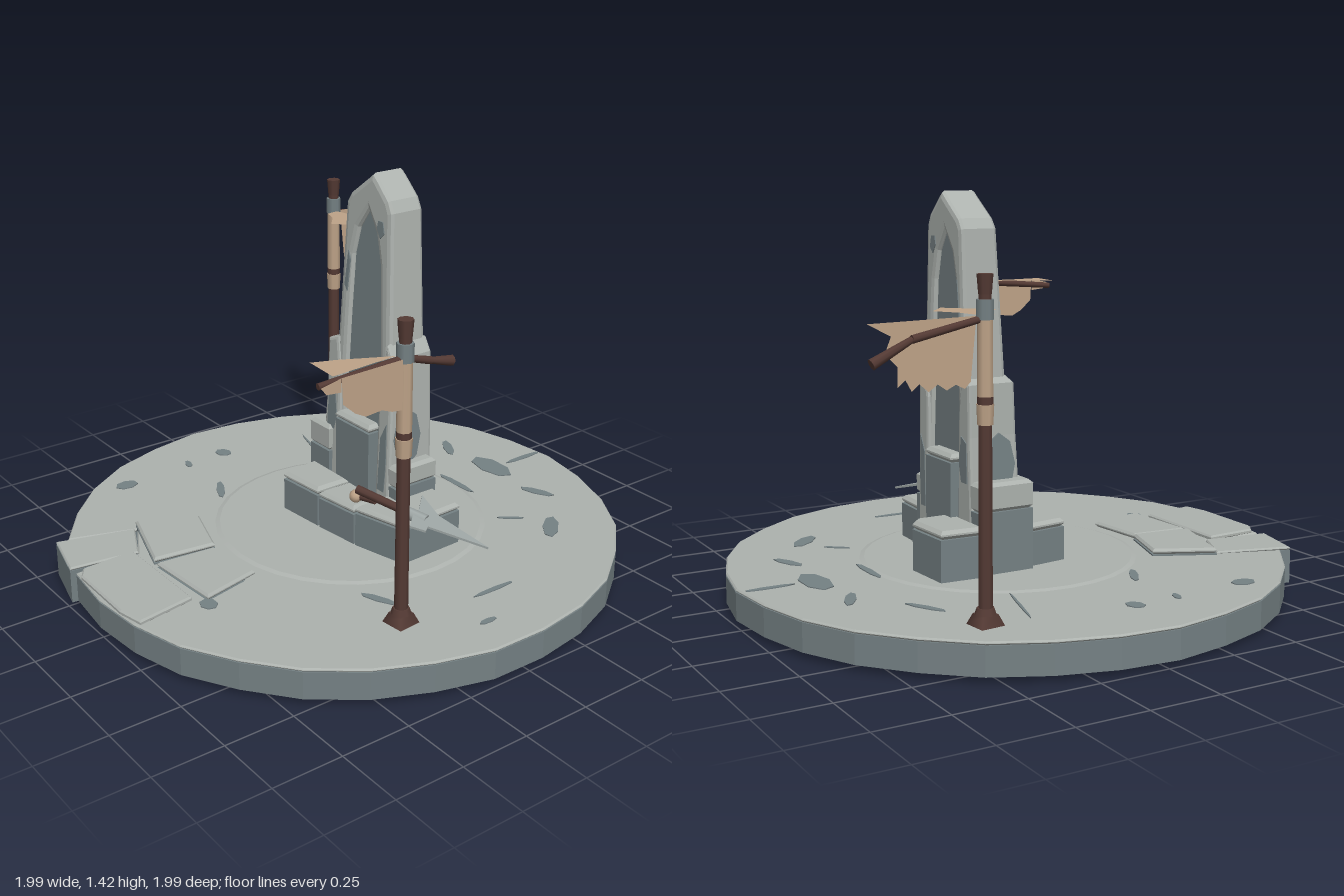
import * as THREE from 'three';

const mat = (name, color, side = THREE.FrontSide) => {
  const m = new THREE.MeshStandardMaterial({ color, side });
  m.name = name;
  return m;
};

export function createModel() {
  const root = new THREE.Group();
  root.name = 'ruinedMonument';
  const light = mat('lightStone', 0xadb2ae);
  const dark = mat('darkStone', 0x758184, THREE.DoubleSide);
  const wood = mat('darkWood', 0x543a34);
  const cloth = mat('tanCloth', 0xbea388, THREE.DoubleSide);
  const steel = mat('steel', 0x9ea6a5);

  const add = (name, geo, material, parent = root) => {
    const m = new THREE.Mesh(geo, material);
    m.name = name;
    parent.add(m);
    return m;
  };
  const shapeOf = (pts) => new THREE.Shape(pts.map(([x, y]) => new THREE.Vector2(x, y)));
  const footprint = (pts) => shapeOf(pts.map(([x, z]) => [x, -z]));

  // Horizontal slab from an [x, z] footprint, with chamfered edges
  const slab = (name, pts, y0, y1, material, bevel = 0) => {
    const g = new THREE.ExtrudeGeometry(footprint(pts), {
      depth: y1 - y0 - 2 * bevel, bevelEnabled: bevel > 0, bevelSegments: 1,
      bevelSize: bevel, bevelThickness: bevel, bevelOffset: -bevel,
    });
    g.rotateX(-Math.PI / 2).translate(0, y0 + bevel, 0);
    return add(name, g, material);
  };
  // Dark block with a light worn top
  const block = (name, pts, y0, y1, cap = 0.03) => {
    slab(name, pts, y0, y1 - cap, dark);
    slab(name + 'Top', pts, y1 - cap, y1, light, Math.min(0.012, cap * 0.4));
  };
  // Hollow slab: open underneath, dark walls and ceiling, light top
  const shell = (name, pts, y0, y1) => {
    const walls = new THREE.ExtrudeGeometry(footprint(pts), { depth: y1 - 0.012 - y0, bevelEnabled: false });
    const first = walls.groups[1].start;
    for (const key of ['position', 'normal', 'uv']) {
      const a = walls.attributes[key];
      walls.setAttribute(key, new THREE.BufferAttribute(a.array.slice(first * a.itemSize), a.itemSize));
    }
    walls.clearGroups();
    add(name + 'Walls', walls.rotateX(-Math.PI / 2).translate(0, y0, 0), dark);
    add(name + 'Ceiling', new THREE.ShapeGeometry(footprint(pts)).rotateX(-Math.PI / 2).translate(0, y1 - 0.013, 0), dark);
    slab(name + 'Top', pts, y1 - 0.012, y1, light, 0.005);
  };
  const rect = (x0, x1, z0, z1) => [[x0, z0], [x1, z0], [x1, z1], [x0, z1]];

  // Round platform with a gap at the front left
  const rim = [];
  for (let i = 0; i <= 29; i++) {
    const a = THREE.MathUtils.degToRad(118 + (345.5 * i) / 29);
    const r = 0.996 + 0.004 * Math.cos(i * 2.4);
    rim.push([r * Math.cos(a), r * Math.sin(a)]);
  }
  rim.push([-0.225, 0.735], [-0.39, 0.645]);
  shell('platform', rim, 0.02, 0.13);
  add('innerPaving', new THREE.CylinderGeometry(0.48, 0.5, 0.006, 32).translate(0, 0.132, -0.03), light);

  // Loose paving stones at the front
  shell('droppedStone', [[-0.39, 0.655], [-0.23, 0.73], [-0.265, 0.98], [-0.47, 0.93]], 0, 0.135);
  slab('frontStone', [[-0.235, 0.75], [0.165, 0.75], [0.2, 0.965], [0.1, 0.985], [-0.18, 0.98], [-0.225, 0.95]], 0.125, 0.145, light, 0.006);
  block('pavingLeft', [[-0.31, 0.43], [-0.09, 0.5], [-0.12, 0.73], [-0.41, 0.64]], 0.12, 0.155, 0.02);
  block('pavingRight', [[-0.08, 0.51], [0.15, 0.49], [0.2, 0.71], [-0.1, 0.73]], 0.12, 0.15, 0.02);

  // Worn patches on the platform: x, z, half length, half width, turn
  [[-0.01, -0.74, 0.105, 0.05, 0], [0.26, -0.73, 0.07, 0.02, 0.4], [-0.25, -0.72, 0.07, 0.02, -0.5],
    [0, -0.9, 0.012, 0.09, 0], [0.02, -0.53, 0.1, 0.014, 0], [0.5, -0.57, 0.08, 0.03, -0.8],
    [-0.45, -0.55, 0.08, 0.014, 0.5], [-0.76, 0.04, 0.035, 0.028, 0.4], [-0.73, 0.5, 0.032, 0.045, 0],
    [-0.75, 0.21, 0.03, 0.013, -0.3], [0.85, 0.05, 0.012, 0.035, 0], [0.22, 0.72, 0.035, 0.03, 0],
    [0.53, 0.25, 0.07, 0.016, 0.4], [-0.48, 0.23, 0.07, 0.016, -0.5], [0.71, -0.1, 0.01, 0.09, 0],
    [-0.58, -0.28, 0.14, 0.005, -0.28], [0.36, -0.5, 0.05, 0.008, 0.9]].forEach(([x, z, a, b, turn]) => {
    const g = new THREE.CylinderGeometry(1, 1, 0.004, 7);
    g.scale(a, 1, b).rotateY(turn).translate(x, 0.1315, z);
    add('wornPatch', g, dark);
  });

  // Foundation blocks around the tower
  block('footFrontLeft', [[-0.22, -0.03], [-0.01, -0.03], [-0.01, 0.11], [-0.2, 0.125]], 0.12, 0.285, 0.03);
  block('footFrontMiddle', [[0, -0.03], [0.17, -0.03], [0.18, 0.09], [0, 0.11]], 0.12, 0.28, 0.03);
  block('footRight', [[0.18, -0.23], [0.39, -0.22], [0.4, 0.04], [0.19, 0.09]], 0.12, 0.29, 0.03);
  block('footBackLeft', [[-0.25, -0.39], [-0.06, -0.4], [-0.03, -0.37], [-0.03, -0.23], [-0.26, -0.23]], 0.12, 0.31, 0.03);
  block('footLeft', rect(-0.245, -0.13, -0.24, -0.03), 0.12, 0.45, 0.1);
  block('footSide', rect(0.15, 0.245, -0.23, -0.05), 0.12, 0.41, 0.08);
  block('keyStone', [[-0.085, -0.266], [0.1, -0.266], [0.105, -0.032], [-0.09, -0.032]], 0.12, 0.53, 0.03);

  // Upright slab from an [x, y] outline whose front leans back with height
  const upright = (name, pts, material, grow, bevel) => {
    const g = new THREE.ExtrudeGeometry(shapeOf(pts), {
      depth: 0.2 - 2 * bevel, bevelEnabled: bevel > 0, bevelSegments: 2,
      bevelSize: bevel, bevelThickness: bevel, bevelOffset: -bevel,
    });
    const p = g.attributes.position;
    for (let i = 0; i < p.count; i++) {
      const t = (p.getZ(i) + bevel) / 0.2;
      const front = -0.045 - 0.055 * (p.getY(i) - 0.13) / 1.29 + grow;
      p.setZ(i, THREE.MathUtils.lerp(-0.235 - grow, front, t));
    }
    g.computeVertexNormals();
    return add(name, g, material);
  };

  // Tower frame, open pointed arch front and back
  upright('towerFrame', [[-0.17, 0.12], [-0.135, 0.8], [-0.112, 1.3], [-0.09, 1.335], [0.005, 1.405], [0.03, 1.425],
    [0.055, 1.405], [0.12, 1.345], [0.14, 1.305], [0.165, 0.82], [0.2, 0.12], [0.145, 0.12], [0.12, 0.6], [0.097, 0.98],
    [0.085, 1.12], [0.06, 1.22], [0.012, 1.295], [-0.04, 1.22], [-0.065, 1.12], [-0.075, 0.9], [-0.095, 0.12]], light, 0, 0.02);
  upright('archPanel', [[-0.12, 0.12], [-0.1, 0.9], [-0.075, 1.22], [0.012, 1.32], [0.095, 1.22], [0.13, 0.8], [0.17, 0.12]],
    dark, -0.018, 0);
  // Broader lower jambs with slanted tops
  upright('jambLeft', [[-0.2, 0.12], [-0.178, 0.6], [-0.178, 0.78], [-0.12, 0.8], [-0.1, 0.68], [-0.085, 0.12]], light, 0.008, 0.012);
  upright('jambRight', [[0.21, 0.12], [0.192, 0.8], [0.16, 0.85], [0.125, 0.7], [0.13, 0.12]], light, 0.008, 0.012);

  // Worn faces on the tower
  upright('wornLeft', [[-0.165, 0.44], [-0.16, 0.58], [-0.125, 0.6], [-0.11, 0.5], [-0.125, 0.44]], dark, 0.011, 0);
  upright('wornRight', [[0.145, 0.3], [0.15, 0.5], [0.18, 0.56], [0.185, 0.4], [0.18, 0.3]], dark, 0.011, 0);
  upright('wornTop', [[0.07, 1.24], [0.075, 1.27], [0.1, 1.27], [0.11, 1.23], [0.09, 1.21]], dark, 0.003, 0);
  upright('wornEdge', [[-0.1, 1.0], [-0.085, 1.13], [-0.075, 1.1], [-0.085, 0.98]], dark, 0.003, 0);
  for (const [x, tilt] of [[0.2, 0.026], [-0.186, -0.046]]) {
    const m = add('wornSide', new THREE.CylinderGeometry(1, 1, 0.008, 8).scale(0.11, 1, 0.06).rotateZ(Math.PI / 2), dark);
    m.position.set(x, 0.5, -0.13);
    m.rotation.z = tilt;
  }

  // Tapered rod between two points
  const rod = (name, a, b, r0, r1, material, parent = root) => {
    const from = new THREE.Vector3(...a), to = new THREE.Vector3(...b);
    const d = to.clone().sub(from);
    const g = new THREE.CylinderGeometry(r1, r0, d.length(), 8);
    g.applyQuaternion(new THREE.Quaternion().setFromUnitVectors(new THREE.Vector3(0, 1, 0), d.normalize()));
    const c = from.add(to).multiplyScalar(0.5);
    return add(name, g.translate(c.x, c.y, c.z), material, parent);
  };

  // Banner poles; flag outlines are relative to the pole
  const banner = (name, x, z, top, arm, hanging, blown, flagY) => {
    const g = new THREE.Group();
    g.name = name;
    g.position.set(x, 0, z);
    root.add(g);
    const ring = (part, y0, y1, r0, r1, m) => rod(part, [0, y0, 0], [0, y1, 0], r0, r1, m, g);
    add('poleFoot', new THREE.CylinderGeometry(0.04, 0.06, 0.035, 4).rotateY(Math.PI / 4 + 0.1).translate(0, 0.148, 0), wood, g);
    ring('poleCollar', 0.165, 0.185, 0.035, 0.028, wood);
    ring('pole', 0.16, top, 0.023, 0.02, wood);
    ring('clothWrap', top - 0.365, top - 0.12, 0.025, 0.024, cloth);
    ring('wrapCord', top - 0.388, top - 0.365, 0.025, 0.025, wood);
    ring('wrapKnot', top - 0.45, top - 0.388, 0.025, 0.028, cloth);
    ring('metalBand', top - 0.135, top - 0.075, 0.028, 0.028, dark);
    ring('poleCap', top - 0.06, top, 0.021, 0.026, wood);
    for (let i = 1; i < arm.length; i++) rod('crossArm', arm[i - 1], arm[i], 0.011, i === arm.length - 1 ? 0.018 : 0.013, wood, g);
    // Shape plane turned so its x runs along z
    add('hangingFlag', new THREE.ShapeGeometry(shapeOf(hanging.map(([a, y]) => [-a, y]))).rotateY(Math.PI / 2).translate(0.016, 0, 0), cloth, g);
    add('blownFlag', new THREE.ShapeGeometry(shapeOf(blown.map(([a, b]) => [a, -b]))).rotateX(-Math.PI / 2).translate(0, flagY, 0), cloth, g);
  };
  banner('leftRearBanner', -0.695, -0.47, 1.2, [[0, 1.07, 0], [0, 1.02, -0.24], [0, 0.955, -0.37]],
    [[-0.02, 1.075], [-0.375, 1.07], [-0.3, 1.03], [-0.32, 0.98], [-0.28, 0.94], [-0.28, 0.88], [-0.255, 0.9], [-0.235, 0.865],
      [-0.21, 0.885], [-0.18, 0.86], [-0.15, 0.88], [-0.12, 0.86], [-0.09, 0.875], [-0.06, 0.86], [-0.04, 0.88]],
    [[0.02, 0], [0.12, -0.02], [0.2, -0.07], [0.285, 0], [0.155, 0.125], [0.09, 0.07], [0.03, 0.05]], 1.075);
  banner('rightFrontBanner', 0.685, 0.28, 1.17, [[-0.02, 1.02, 0.31], [0, 1.045, 0], [0, 1.015, -0.1], [0, 0.995, -0.185]],
    [[0.02, 1.05], [0.25, 1.045], [0.245, 0.96], [0.2, 0.92], [0.16, 0.9], [0.1, 0.905], [0.06, 0.89], [0.02, 0.885]],
    [[-0.02, 0.02], [0, 0.27], [-0.13, 0.26], [-0.1, 0.18], [-0.06, 0.1]], 1.05);
  // Curled tip of the front flag
  add('flagTip', new THREE.ShapeGeometry(shapeOf([[-0.53, 1.045], [-0.605, 1.03], [-0.585, 1.005], [-0.53, 1.0]]))
    .rotateY(Math.PI / 2).translate(0.701, 0, 0), cloth);

  // Broken spear lying against the foundation
  rod('spearShaft', [0.2, 0.36, 0.09], [0.44, 0.31, -0.01], 0.016, 0.014, wood);
  rod('spearSocket', [0.37, 0.325, 0.02], [0.45, 0.305, -0.015], 0.021, 0.024, steel);
  const head = add('spearHead', new THREE.ExtrudeGeometry(shapeOf([[0, -0.02], [0.02, -0.09], [0.075, -0.075], [0.07, -0.045],
    [0.28, 0], [0.07, 0.045], [-0.03, 0.12], [0, 0.03]]), { depth: 0.008, bevelEnabled: false }).rotateX(-Math.PI / 2), steel);
  head.position.set(0.41, 0.32, 0);
  head.rotation.set(0, 0.46, -0.25, 'YZX');
  rod('shaftStub', [0.16, 0.31, 0.06], [0.24, 0.315, 0.04], 0.013, 0.013, wood);
  add('pommel', new THREE.IcosahedronGeometry(0.024, 1).translate(0.16, 0.31, 0.065), cloth);

  return root;
}
